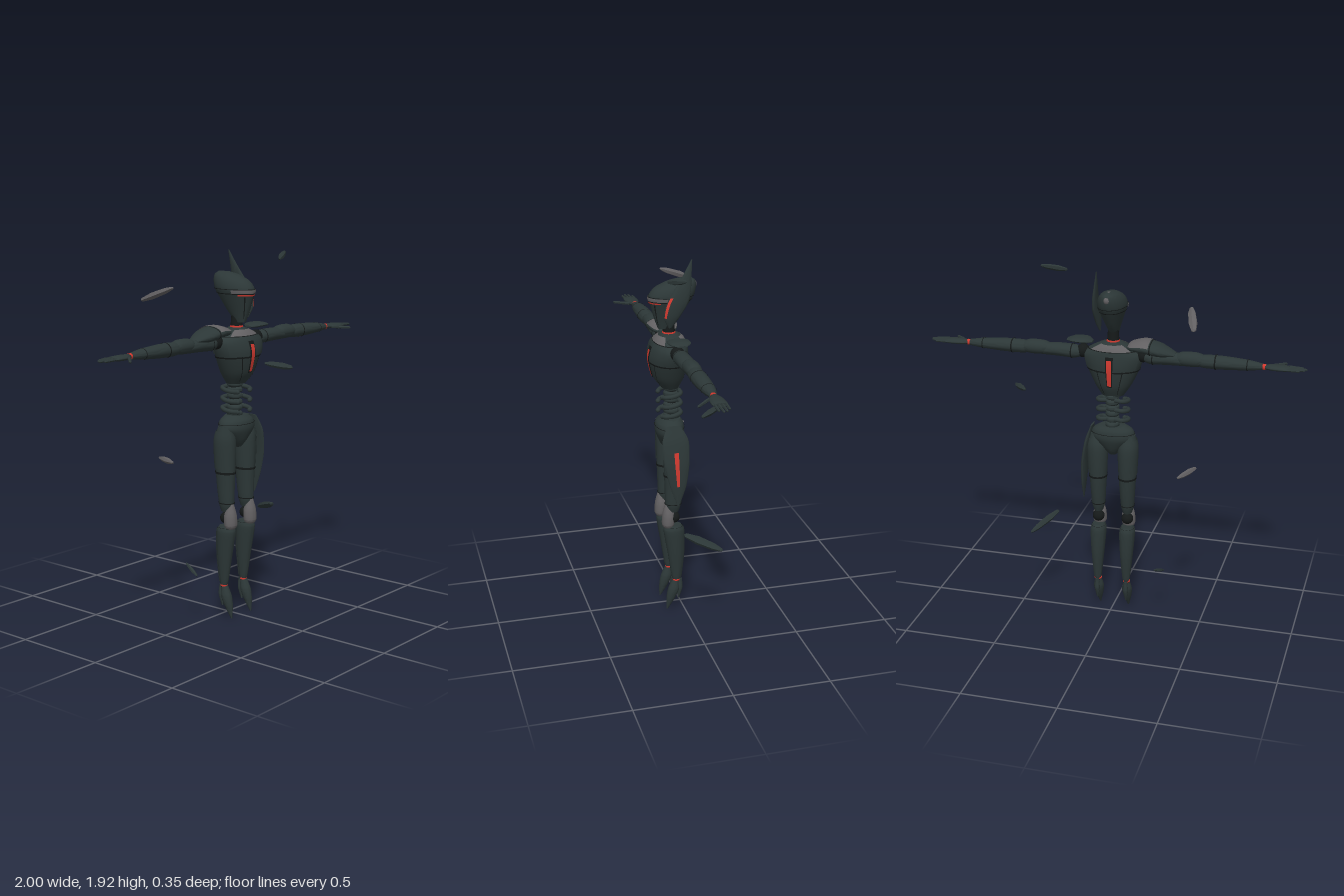
import * as THREE from 'three';
import { toCreasedNormals } from 'three/addons/utils/BufferGeometryUtils.js';

const paint = (name, color) => new THREE.MeshStandardMaterial({ name, color, side: THREE.DoubleSide });

export function createModel() {
  const dark = paint('darkArmour', 0x2c3737);
  const grey = paint('greyArmour', 0x626062);
  const red = paint('redGlow', 0xd23a30);
  const black = paint('blackJoint', 0x151919);
  const model = new THREE.Group();
  model.name = 'robot';

  const add = (parent, name, geo, mat) => {
    const mesh = new THREE.Mesh(geo, mat);
    mesh.name = name;
    parent.add(mesh);
    return mesh;
  };

  // Smooth skin through elliptical sections [y, cx, cz, rx, rz].
  // t0..t1 and a0..a1 cut a plate from it (angle 0 = +x, PI/2 = +z); grow lifts it off.
  function skin(sections, { t0 = 0, t1 = 1, a0 = 0, a1 = Math.PI * 2, grow = 0 } = {}) {
    const s = [...sections].sort((p, q) => p[0] - q[0]);
    const mid = new THREE.CatmullRomCurve3(s.map(p => new THREE.Vector3(p[1], p[0], p[2])), false, 'catmullrom', 0.4);
    const rad = new THREE.CatmullRomCurve3(s.map(p => new THREE.Vector3(p[3], 0, p[4])), false, 'catmullrom', 0.4);
    const rows = Math.max(4, Math.round(20 * (t1 - t0)));
    const cols = Math.max(4, Math.round(28 * (a1 - a0) / (Math.PI * 2)));
    const pos = [], index = [];
    for (let i = 0; i <= rows; i++) {
      const t = t0 + (t1 - t0) * i / rows;
      const c = mid.getPoint(t), r = rad.getPoint(t);
      for (let j = 0; j <= cols; j++) {
        const a = a0 + (a1 - a0) * j / cols;
        pos.push(c.x + (Math.max(r.x, 0.001) + grow) * Math.cos(a), c.y,
          c.z + (Math.max(r.z, 0.001) + grow) * Math.sin(a));
      }
    }
    const w = cols + 1;
    for (let i = 0; i < rows; i++) for (let j = 0; j < cols; j++) {
      const k = i * w + j;
      index.push(k, k + w, k + 1, k + 1, k + w, k + w + 1);
    }
    if (a1 - a0 > 6.28 && t1 - t0 === 1) {
      const top = rows * w;
      for (let j = 1; j < cols - 1; j++) index.push(0, j, j + 1, top, top + j + 1, top + j);
    }
    const geo = new THREE.BufferGeometry();
    geo.setAttribute('position', new THREE.Float32BufferAttribute(pos, 3));
    geo.setIndex(index);
    return toCreasedNormals(geo, 0.7);
  }
  const part = (parent, name, mat, sections, cut) => add(parent, name, skin(sections, cut), mat);
  // The same along x, with sections [x, cy, cz, ry, rz]; angle PI is up.
  const partX = (parent, name, mat, sections, cut) =>
    add(parent, name, skin(sections.map(([x, y, z, ry, rz]) => [x, -y, z, ry, rz]), cut).rotateZ(-Math.PI / 2), mat);
  const seam = (make, parent, sections, t, cut = {}) =>
    make(parent, 'panelSeam', black, sections, { t0: t - 0.008, t1: t + 0.008, grow: 0.003, ...cut });
  const ball = (parent, name, mat, r, x, y, z) =>
    add(parent, name, new THREE.SphereGeometry(r, 20, 14), mat).position.set(x, y, z);

  // Faceted spindle from a to b
  function spike(parent, name, mat, a, b, w, h, profile) {
    const p = new THREE.Vector3(...a), q = new THREE.Vector3(...b), d = q.clone().sub(p);
    const geo = new THREE.LatheGeometry(profile.map(v => new THREE.Vector2(...v)), 6);
    geo.scale(w, d.length(), h);
    const mesh = add(parent, name, toCreasedNormals(geo, 0.3), mat);
    mesh.quaternion.setFromUnitVectors(new THREE.Vector3(0, 1, 0), d.clone().normalize());
    mesh.position.copy(p).lerp(q, 0.5);
  }

  const F = Math.PI / 2, B = -Math.PI / 2;
  const around = (a, half) => ({ a0: a - half, a1: a + half });

  // Head
  const head = [[1.575, 0, .085, .02, .03], [1.63, 0, .07, .036, .065], [1.7, 0, .055, .06, .1], [1.745, 0, .045, .074, .118],
    [1.785, 0, .025, .066, .108], [1.815, 0, -.005, .045, .075], [1.83, 0, -.025, .015, .035]];
  part(model, 'head', dark, head);
  part(model, 'visor', grey, head, { t0: .42, t1: .49, grow: .005, ...around(F, 1.3) });
  part(model, 'visorGlow', red, head, { t0: .375, t1: .4, grow: .004, ...around(F, 1) });
  seam(part, model, head, .41);
  seam(part, model, head, .5);
  for (const a of [F - .6, F + .6]) part(model, 'cheekSeam', black, head, { t0: .06, t1: .36, grow: .002, ...around(a, .05) });
  add(model, 'crest', new THREE.SphereGeometry(1, 20, 14).scale(.03, .035, .058), grey).position.set(0, 1.796, -.03);

  // Side fin on the left of the head
  const fin = [[1.595, .073, .07, .004, .008], [1.65, .08, .062, .013, .04], [1.72, .083, .035, .015, .055],
    [1.785, .08, .008, .013, .044], [1.86, .07, -.02, .008, .022], [1.935, .06, -.045, .002, .003]];
  part(model, 'headFin', dark, fin);
  part(model, 'finGlow', red, fin, { t0: .2, t1: .5, grow: .003, a0: .75, a1: 1.15 });

  // Neck
  add(model, 'neck', new THREE.CylinderGeometry(.026, .034, .1, 20), black).position.set(0, 1.575, .058);
  add(model, 'neckRing', new THREE.CylinderGeometry(.033, .035, .012, 20), red).position.set(0, 1.552, .058);

  // Torso
  const torso = [[1.26, 0, .055, .058, .045], [1.32, 0, .062, .098, .08], [1.42, 0, .067, .145, .098],
    [1.485, 0, .062, .156, .088], [1.525, 0, .055, .1, .07], [1.55, 0, .057, .038, .042]];
  part(model, 'torso', dark, torso);
  for (const a of [F, B]) {
    part(model, 'collar', grey, torso, { t0: .72, t1: .92, grow: .004, ...around(a, .95) });
    part(model, 'stripeFrame', black, torso, { t0: .2, t1: .6, grow: .003, ...around(a, .13) });
    part(model, 'torsoStripe', red, torso, { t0: .22, t1: .54, grow: .006, ...around(a, .085) });
    for (const side of [-1, 1]) {
      part(model, 'chestPlate', dark, torso, { t0: .38, t1: .69, grow: .006, ...around(a + side * .62, .42) });
      part(model, 'flankSeam', black, torso, { t0: .05, t1: .37, grow: .002, ...around(a + side * .5, .02) });
    }
  }
  seam(part, model, torso, .36);
  seam(part, model, torso, .71);

  // Spine and ribs
  for (let i = 0; i < 6; i++) {
    const y = 1.085 + i * .031;
    part(model, 'vertebra', dark, [[y, 0, .045, .026, .03], [y + .006, 0, .045, .036, .042],
      [y + .022, 0, .045, .036, .042], [y + .029, 0, .045, .026, .03]]);
  }
  add(model, 'spineCore', new THREE.CylinderGeometry(.028, .028, .22, 16), black).position.set(0, 1.175, .045);
  for (const side of [-1, 1]) for (const y of [1.125, 1.177, 1.23]) {
    const path = new THREE.CatmullRomCurve3([[.02, .012, .01], [.06, .008, .012], [.08, 0, .05], [.072, -.006, .09], [.05, -.01, .105]]
      .map(([x, dy, z]) => new THREE.Vector3(side * x, y + dy, z)));
    add(model, 'rib', new THREE.TubeGeometry(path, 16, .012, 8), dark);
    ball(model, 'ribTip', dark, .012, side * .05, y - .01, .105);
  }

  // Pelvis
  const pelvis = [[.925, 0, .06, .02, .025], [.96, 0, .06, .055, .05], [1.02, 0, .058, .115, .073],
    [1.065, 0, .056, .108, .07], [1.092, 0, .052, .07, .05]];
  part(model, 'pelvis', dark, pelvis);
  seam(part, model, pelvis, .66);

  // Legs and arms: built on the left, mirrored to the right
  const thigh = [[.59, .08, .058, .024, .03], [.63, .08, .058, .035, .042], [.72, .08, .053, .041, .05],
    [.85, .08, .05, .049, .057], [.97, .082, .05, .052, .058], [1.04, .088, .055, .032, .04]];
  const knee = [[.5, .08, .085, .026, .024], [.52, .08, .086, .036, .033], [.575, .08, .084, .034, .032], [.635, .08, .09, .012, .012]];
  const shin = [[.18, .08, .04, .015, .018], [.21, .08, .041, .02, .026], [.35, .08, .045, .034, .044],
    [.48, .08, .056, .042, .054], [.512, .08, .056, .03, .04]];
  const upperArm = [[.16, 1.48, .05, .02, .022], [.2, 1.48, .05, .034, .04], [.3, 1.483, .05, .034, .042],
    [.4, 1.48, .05, .029, .034], [.44, 1.48, .05, .02, .024]];
  const elbow = [[.33, 1.49, .048, .02, .028], [.37, 1.488, .048, .036, .04], [.44, 1.488, .048, .037, .04], [.49, 1.486, .05, .022, .03]];
  const forearm = [[.43, 1.482, .05, .022, .024], [.48, 1.483, .05, .034, .038], [.58, 1.483, .05, .034, .041],
    [.7, 1.482, .05, .026, .034], [.775, 1.48, .05, .016, .02]];
  const digit = [[0, -.5], [.85, -.48], [1, -.1], [.85, -.06], [.9, 0], [.75, .42], [0, .5]];
  for (const side of [1, -1]) {
    const limbs = new THREE.Group();
    limbs.name = side > 0 ? 'leftLimbs' : 'rightLimbs';
    limbs.scale.x = side;
    model.add(limbs);

    part(limbs, 'thigh', dark, thigh);
    part(limbs, 'thighPlate', dark, thigh, { t0: .55, t1: .93, grow: .005, a0: -1.4, a1: 1.2 });
    seam(part, limbs, thigh, .52);
    seam(part, limbs, thigh, .22);
    ball(limbs, 'kneeJoint', black, .032, .08, .555, .055);
    part(limbs, 'kneeCap', grey, knee);
    part(limbs, 'shin', dark, shin);
    seam(part, limbs, shin, .9);
    part(limbs, 'calfPlate', dark, shin, { t0: .2, t1: .85, grow: .004, ...around(B, .9) });
    ball(limbs, 'ankleJoint', black, .017, .08, .183, .04);
    add(limbs, 'ankleGlow', new THREE.CylinderGeometry(.02, .02, .008, 16), red).position.set(.08, .185, .042);
    part(limbs, 'foot', dark, [[.01, .08, .092, .003, .004], [.075, .08, .072, .02, .024], [.13, .08, .056, .027, .03], [.185, .08, .044, .015, .018]]);
    part(limbs, 'heel', dark, [[.07, .08, .03, .004, .004], [.13, .08, .021, .014, .014], [.185, .08, .022, .009, .012]]);

    ball(limbs, 'shoulderJoint', black, .036, .16, 1.485, .055);
    partX(limbs, 'upperArm', dark, upperArm);
    seam(partX, limbs, upperArm, .3);
    partX(limbs, 'elbowGuard', dark, elbow);
    partX(limbs, 'forearm', dark, forearm);
    seam(partX, limbs, forearm, .4);
    seam(partX, limbs, forearm, .75);
    add(limbs, 'wristGlow', new THREE.CylinderGeometry(.015, .015, .018, 16).rotateZ(F), red).position.set(.783, 1.48, .05);
    partX(limbs, 'palm', dark, [[.788, 1.48, .05, .012, .018], [.825, 1.48, .052, .014, .033], [.88, 1.48, .053, .013, .038], [.908, 1.48, .053, .009, .036]]);
    [[.026, .965], [.044, .99], [.062, 1], [.08, .98]].forEach(([z, tip]) =>
      spike(limbs, 'finger', dark, [.895, 1.481, z], [tip, 1.478, z], .008, .0075, digit));
    spike(limbs, 'thumb', dark, [.81, 1.478, .075], [.887, 1.472, .155], .009, .01, digit);
  }

  // Shoulder guards: a large one on the right, a small floating one on the left
  const guard = [[-.33, 1.505, .05, .01, .03], [-.25, 1.523, .05, .032, .068], [-.17, 1.537, .05, .033, .077],
    [-.105, 1.533, .05, .022, .06], [-.08, 1.53, .05, .008, .03]];
  partX(model, 'rightShoulderGuard', dark, guard);
  partX(model, 'rightShoulderCap', grey, guard, { t0: .4, t1: .9, grow: .004, ...around(Math.PI, 1.25) });
  seam(partX, model, guard, .38);
  partX(model, 'leftShoulderGuard', dark, [[.105, 1.54, .05, .005, .02], [.14, 1.546, .05, .013, .055], [.2, 1.548, .05, .012, .055], [.24, 1.545, .05, .004, .025]]);

  // Hip blade on the left
  const blade = [[.655, .16, .05, .002, .005], [.76, .158, .05, .011, .043], [.88, .152, .055, .015, .066],
    [1, .133, .058, .014, .07], [1.08, .113, .062, .005, .036]];
  part(model, 'hipBlade', dark, blade);
  part(model, 'hipBladeGlow', red, blade, { t0: .26, t1: .64, grow: .003, ...around(.04, .16) });

  // Floating shards
  const facet = [[0, -.5], [.55, -.45], [1, -.15], [.85, .25], [.4, .46], [0, .5]];
  [[[.26, 1.885, .13], [.388, 1.915, .07], dark, .017], [[-.465, 1.705, -.175], [-.415, 1.775, 0], grey, .024],
    [[.52, 1.275, .03], [.43, 1.298, -.1], dark, .021], [[-.455, .907, .02], [-.388, .902, -.13], grey, .02],
    [[.305, .555, .06], [.41, .49, -.12], dark, .024], [[-.29, .28, .035], [-.258, .327, -.07], dark, .012]]
    .forEach(([a, b, mat, w]) => spike(model, 'shard', mat, a, b, w, w * .75, facet));

  return model;
}
